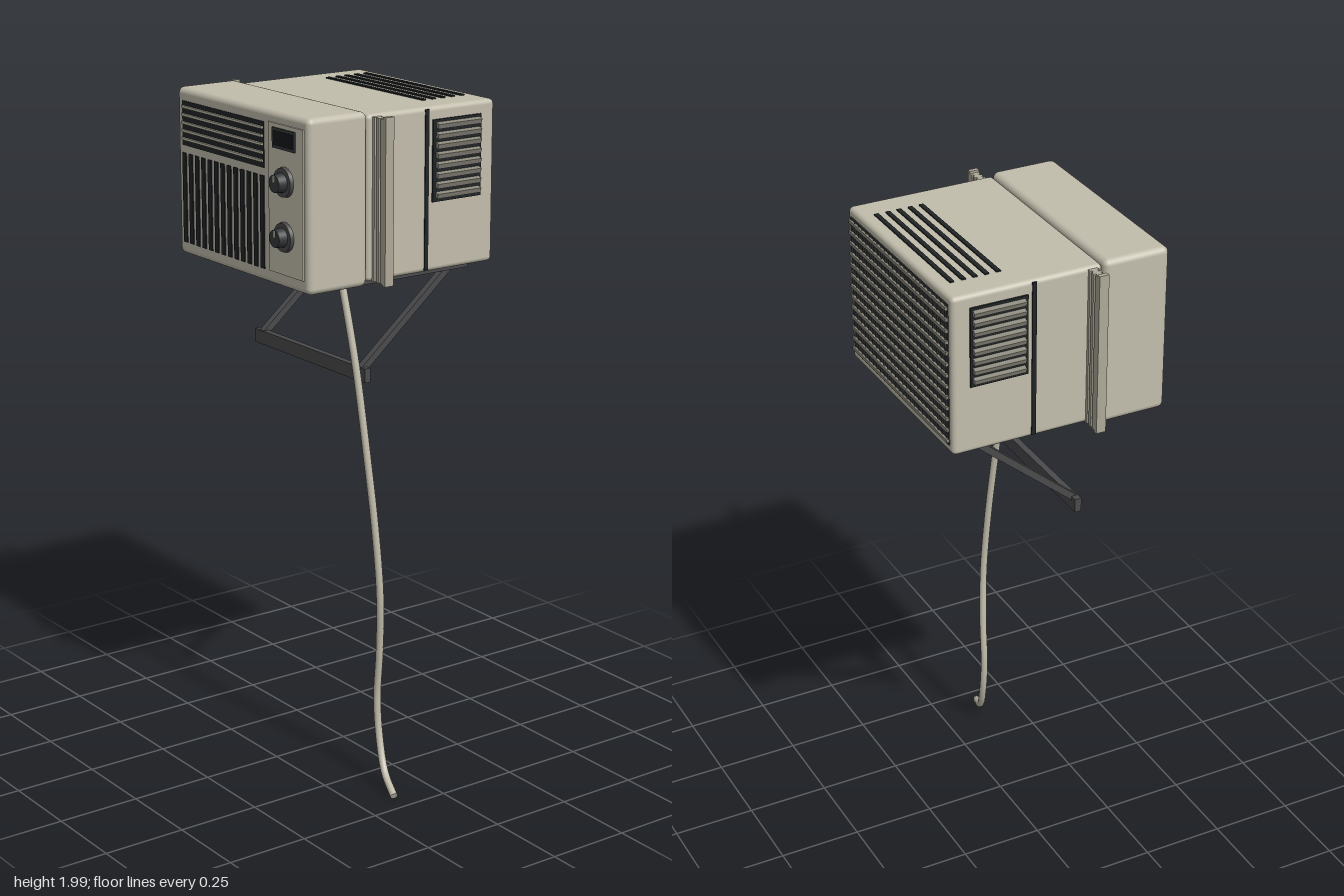
import * as THREE from 'three';
import { RoundedBoxGeometry } from 'three/addons/geometries/RoundedBoxGeometry.js';

const mat = (name, color, extra = {}) => {
  const m = new THREE.MeshStandardMaterial({ color, ...extra });
  m.name = name;
  return m;
};

export function createModel() {
  const model = new THREE.Group();
  model.name = 'windowAirConditioner';
  const beige = mat('beige casing', 0xc2bdac);
  const panelBeige = mat('control panel beige', 0xc8c3b1);
  const pleatBeige = mat('pleat beige', 0xaea998);
  const slatGrey = mat('slat grey', 0x8b887c);
  const black = mat('vent black', 0x202426);
  const steel = mat('dark steel', 0x4a4a4c);
  const knobGrey = mat('knob grey', 0x36393b);
  const screen = mat('display', 0x14191c);

  const add = (name, geo, material, parent = model) => {
    const m = new THREE.Mesh(geo, material);
    m.name = name;
    parent.add(m);
    return m;
  };
  const group = (name) => {
    const g = new THREE.Group();
    g.name = name;
    model.add(g);
    return g;
  };
  // box given by its limits on each axis; r rounds the edges
  const box = (name, [x0, x1], [y0, y1], [z0, z1], material, parent, r = 0) => {
    const s = [x1 - x0, y1 - y0, z1 - z0];
    const geo = r ? new RoundedBoxGeometry(...s, 3, r) : new THREE.BoxGeometry(...s);
    const m = add(name, geo, material, parent);
    m.position.set((x0 + x1) / 2, (y0 + y1) / 2, (z0 + z1) / 2);
    return m;
  };

  // casing
  box('frontHousing', [-0.4, 0.265], [1.505, 2], [0.108, 0.309], beige, model, 0.018);
  box('rearHousing', [-0.39, 0.26], [1.515, 1.99], [-0.345, 0.107], beige, model, 0.014);

  // front air outlet with horizontal louvres
  const outlet = group('frontOutlet');
  box('outletBack', [-0.37, 0.05], [1.832, 1.963], [0.306, 0.311], black, outlet);
  for (let i = 0; i < 5; i++) {
    const y = 1.852 + i * 0.0235;
    box('outletLouvre', [-0.367, 0.047], [y - 0.0035, y + 0.0035], [0.308, 0.317], beige, outlet);
  }

  // front intake with vertical slots
  const intake = group('frontIntake');
  for (let i = 0; i < 13; i++) {
    const x = -0.362 + i * 0.0335;
    box('intakeSlot', [x - 0.0095, x + 0.0095], [1.543, 1.81], [0.306, 0.312], black, intake);
  }

  // control panel, display and knobs
  const controls = group('controls');
  box('controlPanel', [0.077, 0.243], [1.545, 1.968], [0.306, 0.314], panelBeige, controls);
  box('displayFrame', [0.102, 0.21], [1.9, 1.957], [0.312, 0.319], knobGrey, controls);
  box('displayScreen', [0.11, 0.202], [1.908, 1.949], [0.317, 0.321], screen, controls);
  for (const y of [1.81, 1.655]) {
    const base = add('knobBase', new THREE.CylinderGeometry(0.041, 0.043, 0.012, 32), steel, controls);
    base.rotation.x = Math.PI / 2;
    base.position.set(0.157, y, 0.319);
    const knob = add('knob', new THREE.CylinderGeometry(0.025, 0.028, 0.028, 24), knobGrey, controls);
    knob.rotation.x = Math.PI / 2;
    knob.position.set(0.157, y, 0.337);
    box('knobPointer', [0.154, 0.16], [y + 0.004, y + 0.023], [0.349, 0.353], panelBeige, controls);
  }

  // top vent slots
  const topVent = group('topVent');
  for (let i = 0; i < 5; i++) {
    const z = -0.3 + i * 0.0345;
    box('topSlot', [-0.303, 0.168], [1.986, 1.994], [z - 0.0065, z + 0.0065], black, topVent);
  }

  // side vents, seams and pleated window fillers
  for (const s of [-1, 1]) {
    const wall = s > 0 ? 0.26 : -0.39;
    const span = (a, b) => [wall + s * a, wall + s * b].sort((p, q) => p - q);
    const side = group(s > 0 ? 'leftSide' : 'rightSide');
    box('sideVentBack', span(-0.004, 0.005), [1.717, 1.953], [-0.293, -0.12], black, side);
    for (let i = 0; i < 8; i++) {
      const slat = box('sideVentSlat', span(0.002, 0.016), [1.729 + i * 0.0285, 1.744 + i * 0.0285],
        [-0.286, -0.13], slatGrey, side);
      slat.rotation.z = -s * 0.35;
    }
    box('sideSeam', span(-0.004, 0.003), [1.522, 1.984], [-0.107, -0.094], black, side);

    const pleats = group(s > 0 ? 'leftFiller' : 'rightFiller');
    for (let i = 0; i < 5; i++) {
      const inset = i % 2 ? 0.006 : 0;
      box('pleat', span(i * 0.01 - 0.002, i * 0.01 + 0.01), [1.517, 1.983],
        [0.062 + inset, 0.09 - inset], pleatBeige, pleats);
    }
    box('fillerEnd', span(0.049, 0.063), [1.512, 1.99], [0.062, 0.091], pleatBeige, pleats);
  }

  // rear condenser grille
  const grille = group('rearGrille');
  box('grilleBack', [-0.37, 0.237], [1.542, 1.966], [-0.348, -0.34], knobGrey, grille);
  for (let i = 0; i < 13; i++) {
    const y = 1.556 + i * 0.0332;
    box('grilleSlat', [-0.37, 0.237], [y - 0.005, y + 0.005], [-0.355, -0.346], slatGrey, grille);
  }
  for (let i = 0; i < 25; i++) {
    const x = -0.36 + i * 0.0245;
    box('grilleFin', [x - 0.002, x + 0.002], [1.545, 1.963], [-0.351, -0.346], steel, grille);
  }

  // support bracket
  const bracket = group('supportBracket');
  const from = new THREE.Vector2(-0.245, 1.5), to = new THREE.Vector2(0.065, 1.24);
  for (const x of [-0.318, 0.18]) {
    box('bracketRail', [x - 0.016, x + 0.016], [1.49, 1.517], [-0.307, 0.08], steel, bracket);
    const strut = add('bracketStrut',
      new THREE.BoxGeometry(0.022, 0.02, from.distanceTo(to) + 0.015), steel, bracket);
    strut.position.set(x, (from.y + to.y) / 2, (from.x + to.x) / 2);
    strut.rotation.x = Math.atan2(from.y - to.y, to.x - from.x);
  }
  box('bracketCrossbar', [-0.35, 0.21], [1.204, 1.246], [0.057, 0.077], steel, bracket);

  // hanging power cord
  const path = new THREE.CatmullRomCurve3([
    [0.208, 1.52, 0.158], [0.26, 1.29, 0.148], [0.305, 1, 0.136], [0.327, 0.8, 0.125],
    [0.338, 0.6, 0.115], [0.322, 0.42, 0.104], [0.306, 0.26, 0.1], [0.322, 0.14, 0.102],
    [0.365, 0.055, 0.115], [0.445, 0.015, 0.141],
  ].map((p) => new THREE.Vector3(...p)));
  add('powerCord', new THREE.TubeGeometry(path, 80, 0.011, 10), beige);
  for (const [t, dir] of [[0, -1], [1, 1]]) {
    const cap = add('cordEnd', new THREE.CircleGeometry(0.011, 10), beige);
    const p = path.getPointAt(t);
    cap.position.copy(p);
    cap.lookAt(p.clone().addScaledVector(path.getTangentAt(t), dir));
  }

  return model;
}
